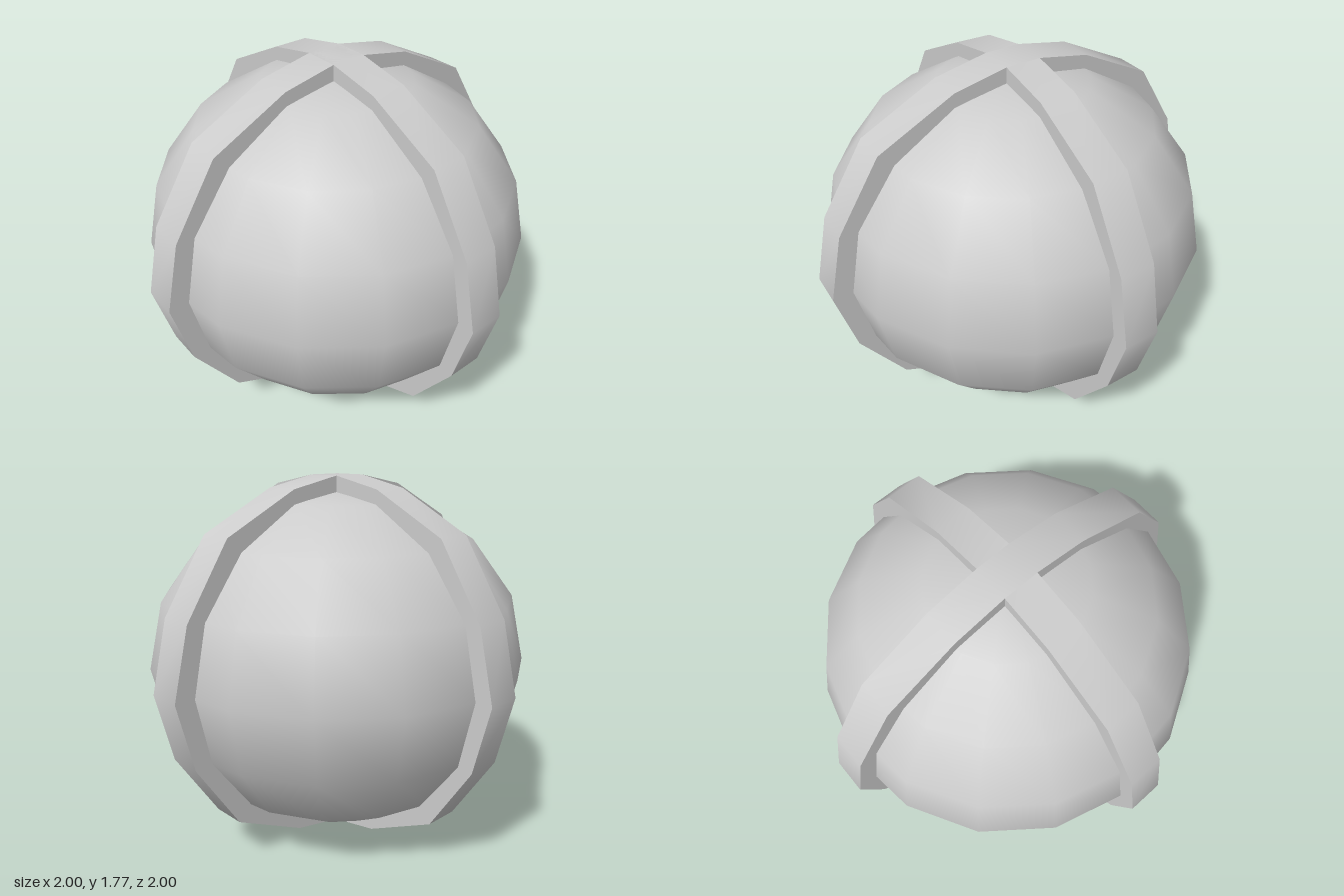
import * as THREE from 'three';
import { toCreasedNormals } from 'three/addons/utils/BufferGeometryUtils.js';

const CENTRE_Y = 0.885;
const BAND_WIDTH = 0.17;

// Quarter of the band outline, from the flat top down to the equator
const QUARTER = [[0.085, 0.885], [0.34, 0.835], [0.705, 0.655], [0.92, 0.325], [1, 0]];

// Full closed outline, mirrored from the quarter and scaled
function outline(scale) {
  const right = [...QUARTER, ...QUARTER.slice(0, -1).reverse().map(([x, y]) => [x, -y])];
  const left = right.map(([x, y]) => [-x, y]).reverse();
  return [...right, ...left].map(([x, y]) => new THREE.Vector2(x * scale, y * scale));
}

// Flat-sided hoop whose inner edge is buried in the ball
function bandGeometry() {
  const shape = new THREE.Shape(outline(1));
  shape.holes.push(new THREE.Path(outline(0.84)));
  const geometry = new THREE.ExtrudeGeometry(shape, { depth: BAND_WIDTH, bevelEnabled: false });
  geometry.translate(0, 0, -BAND_WIDTH / 2);
  return toCreasedNormals(geometry, 0.65);
}

export function createModel() {
  const group = new THREE.Group();
  group.name = 'bandedBall';
  const material = new THREE.MeshStandardMaterial({ color: 0xcccccc });

  // Slightly squashed ball
  const ballGeometry = new THREE.SphereGeometry(0.925, 16, 8);
  ballGeometry.scale(1, 0.9, 1);
  const ball = new THREE.Mesh(ballGeometry, material);
  ball.name = 'ball';
  ball.position.y = CENTRE_Y;
  ball.rotation.y = THREE.MathUtils.degToRad(-4.3);
  group.add(ball);

  // Two upright bands crossing at the top and bottom
  const geometry = bandGeometry();
  for (const [name, angle] of [['sideBand', 0], ['frontBand', Math.PI / 2]]) {
    const band = new THREE.Mesh(geometry, material);
    band.name = name;
    band.position.y = CENTRE_Y;
    band.rotation.y = angle;
    group.add(band);
  }
  return group;
}
